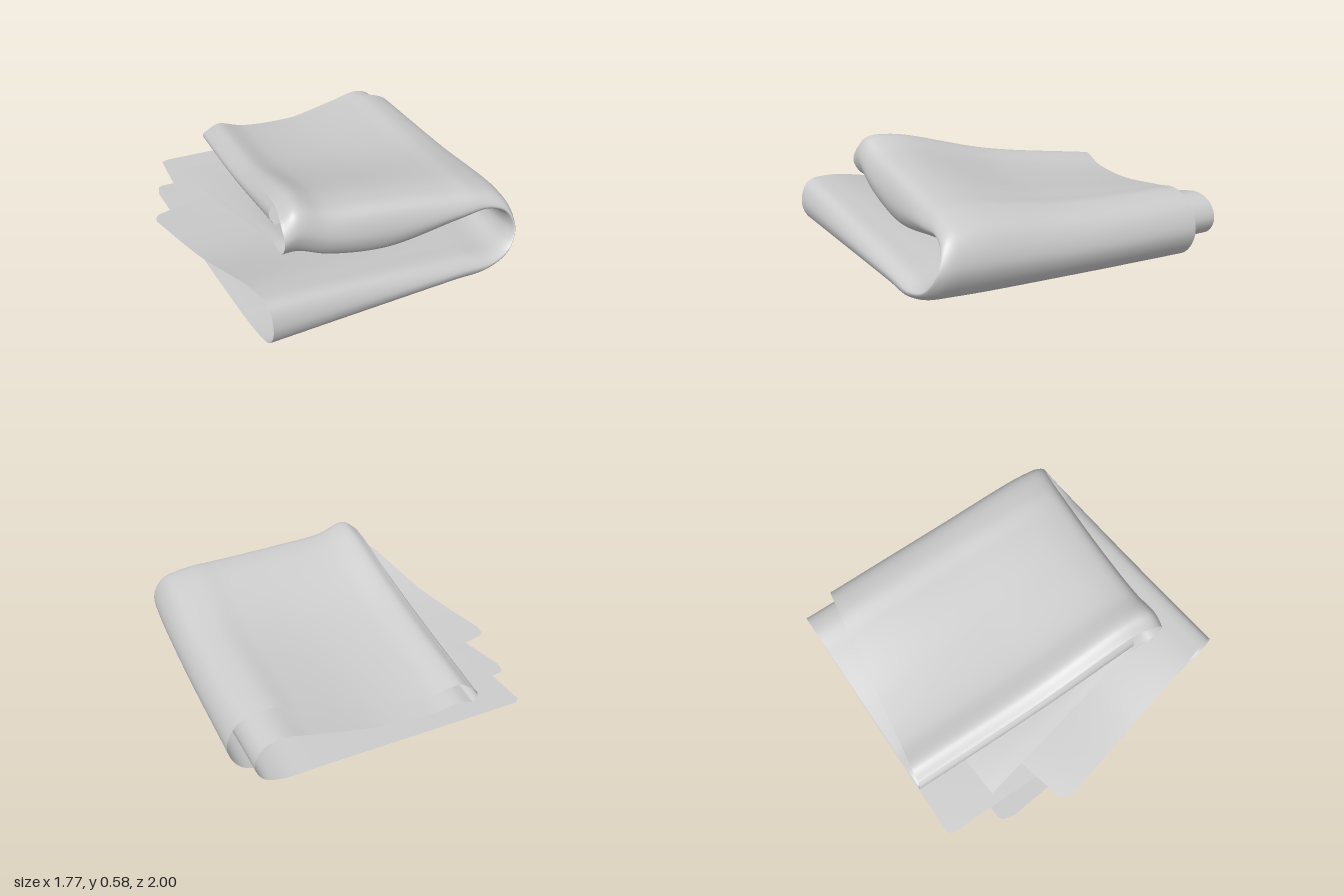
import * as THREE from 'three';

const material = new THREE.MeshStandardMaterial({ color: 0xcccccc, side: THREE.DoubleSide });
const { lerp } = THREE.MathUtils;
const spline = (pts) => new THREE.CatmullRomCurve3(pts, false, 'centripetal');

// One cross-section: lower panel from its left edge, round the side fold, back along the upper panel.
// left, top: free edges [x, y, z]; fold: outermost [x, z]; y0, y1: heights below and above the fold;
// curl: roll-down of the upper edge; sag: dip of the upper panel; skew: lower panel set forward of the upper.
function foldedStrip({ left, fold, top, y0, y1, curl = 0, sag = 0, skew = 0 }) {
  const [fx, fz] = fold;
  const ry = (y1 - y0) / 2, rx = ry * 1.1;
  const L = new THREE.Vector3(...left), T = new THREE.Vector3(...top);
  const arc = [];
  for (let i = -2; i <= 2; i++) {
    const a = i * Math.PI / 4, x = fx - rx + rx * Math.cos(a), end = i < 0 ? L : T;
    const slope = (fz - end.z) / (fx - end.x);
    arc.push(new THREE.Vector3(x, (y0 + y1) / 2 + ry * Math.sin(a), fz + slope * (x - fx) - skew * Math.sin(a)));
  }
  const lower = [0, 0.15, 0.5, 0.85].map((k) => L.clone().lerp(arc[0], k));
  const upper = [0.15, 0.5, 0.78, 0.93, 1].map((k) => arc[4].clone().lerp(T, k));
  upper[0].y -= sag * 0.3;
  upper[1].y -= sag;
  upper[2].y += curl * 0.2 - sag * 0.6;
  upper[3].y += curl;
  return spline([...lower, ...arc, ...upper]);
}

// Trim of the back edges that rounds the lower left corners of the cloth
function cornerInset(u, size = 0.02) {
  const d = Math.max(0, 1 - u / size);
  return 0.014 * (1 - Math.sqrt(1 - d * d));
}

// Smooth cloth surface through a row of curves
function cloth(name, curves, nu, nv, inset = () => 0) {
  const pos = [], index = [];
  for (let i = 0; i <= nu; i++) {
    const across = spline(curves.map((c) => c.getPoint(i / nu)));
    const trim = inset(i / nu);
    for (let j = 0; j <= nv; j++) {
      const p = across.getPoint(lerp(trim, 1 - trim, j / nv));
      pos.push(p.x, Math.max(0, p.y), p.z);
      if (i < nu && j < nv) {
        const a = i * (nv + 1) + j, b = a + nv + 1;
        index.push(a, b, a + 1, b, b + 1, a + 1);
      }
    }
  }
  const g = new THREE.BufferGeometry();
  g.setAttribute('position', new THREE.Float32BufferAttribute(pos, 3));
  g.setIndex(index);
  g.computeVertexNormals();
  const mesh = new THREE.Mesh(g, material);
  mesh.name = name;
  return mesh;
}

export function createModel() {
  const group = new THREE.Group();
  group.name = 'foldedCloth';

  // Outer layer from the back to the front roll, then the inner layer returning to the back
  const outer = [
    { left: [-0.885, 0.1, -0.4], fold: [0.64, -0.83], top: [-0.55, 0.25, -0.73], y0: 0.0, y1: 0.35, curl: 0.03, sag: 0.04 },
    { left: [-0.67, 0.08, 0.25], fold: [0.78, -0.15], top: [-0.43, 0.38, -0.05], y0: 0.04, y1: 0.39, curl: 0.03, sag: 0.02 },
    { left: [-0.46, 0.055, 0.84], fold: [0.88, 0.4], top: [-0.32, 0.54, 0.53], y0: 0.06, y1: 0.46, curl: 0.04, skew: 0.03 },
    { left: [-0.415, 0.09, 0.96], fold: [0.89, 0.53], top: [-0.31, 0.52, 0.67], y0: 0.08, y1: 0.44, curl: 0.05, skew: 0.05 },
    { left: [-0.4, 0.19, 1.0], fold: [0.88, 0.57], top: [-0.3, 0.44, 0.72], y0: 0.13, y1: 0.38, curl: 0.03, sag: 0.06, skew: 0.05 },
    { left: [-0.415, 0.3, 0.96], fold: [0.86, 0.53], top: [-0.31, 0.35, 0.67], y0: 0.16, y1: 0.35, sag: 0.1, skew: 0.05 },
    { left: [-0.47, 0.31, 0.84], fold: [0.83, 0.4], top: [-0.34, 0.33, 0.53], y0: 0.16, y1: 0.33, sag: 0.09, skew: 0.03 },
    { left: [-0.68, 0.19, 0.4], fold: [0.74, -0.1], top: [-0.49, 0.26, 0.15], y0: 0.14, y1: 0.26, sag: 0.03 },
    { left: [-0.905, 0.13, -0.06], fold: [0.58, -0.8], top: [-0.73, 0.19, -0.4], y0: 0.12, y1: 0.24, sag: 0.01 },
  ];
  group.add(cloth('outerAndInnerLayers', outer.map(foldedStrip), 120, 96, cornerInset));

  // Middle layer, which sticks out at the back
  const middle = [
    { left: [-0.835, 0.1, -0.68], fold: [0.54, -1.0], top: [-0.55, 0.18, -0.74], y0: 0.08, y1: 0.3, curl: 0.01, sag: 0.04 },
    { left: [-0.66, 0.12, 0.1], fold: [0.7, -0.25], top: [-0.43, 0.3, -0.05], y0: 0.09, y1: 0.33, curl: 0.01, sag: 0.02 },
    { left: [-0.47, 0.12, 0.75], fold: [0.83, 0.38], top: [-0.32, 0.42, 0.53], y0: 0.11, y1: 0.38, curl: 0.01 },
  ];
  group.add(cloth('middleLayer', middle.map(foldedStrip), 120, 48, cornerInset));

  // Rolled left edge joining the upper outer panel to the middle layer
  const roll = middle.map(({ top }, i) => {
    const a = new THREE.Vector3(...outer[i].top), b = new THREE.Vector3(...top);
    const bulge = (k) => a.clone().lerp(b, k).add(new THREE.Vector3(-0.1 * k * (1 - k), 0, 0));
    return spline([0, 0.25, 0.5, 0.75, 1].map(bulge));
  });
  group.add(cloth('leftRoll', roll, 16, 40));

  return group;
}
